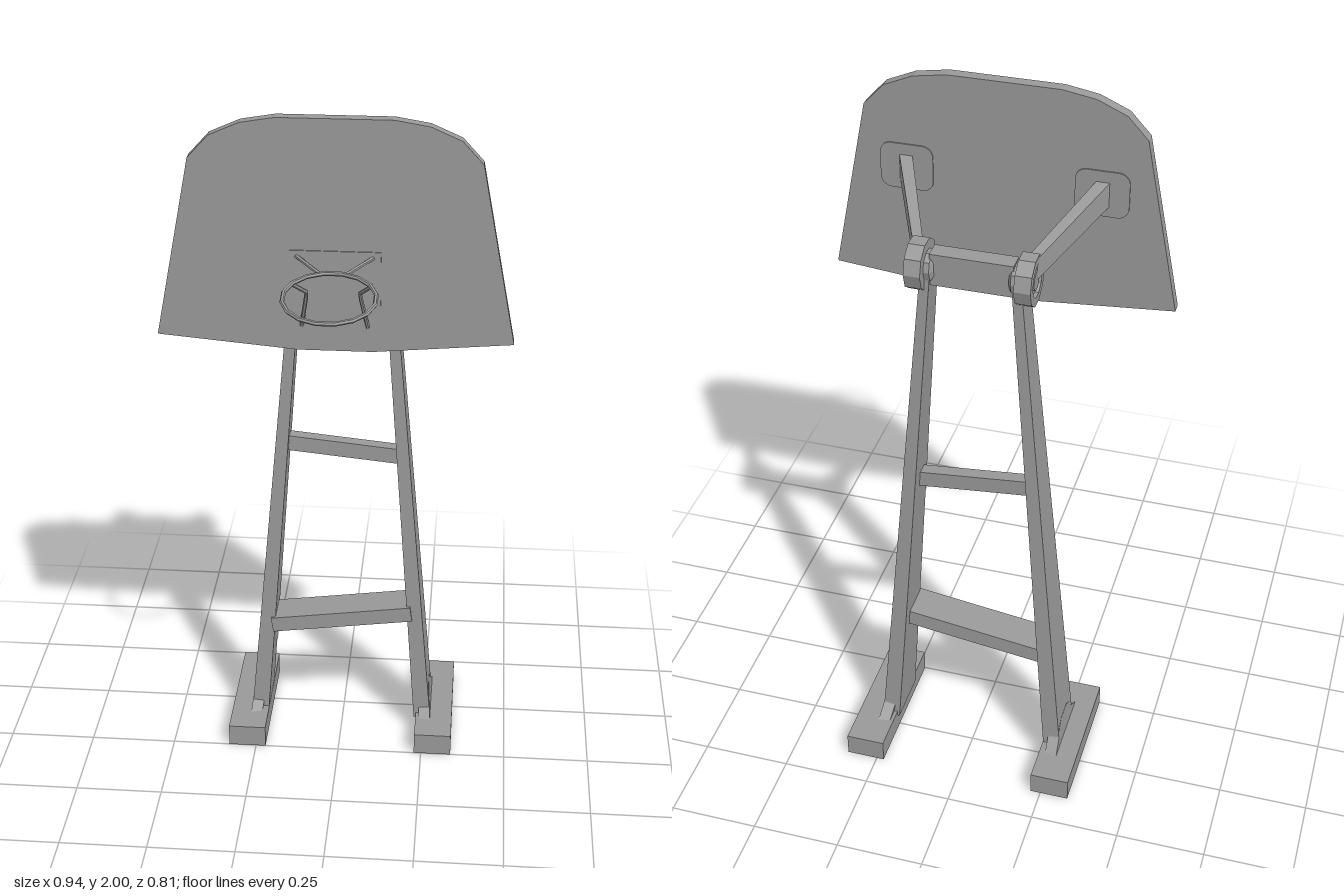
import * as THREE from 'three';

const mat = new THREE.MeshStandardMaterial({ color: 0x999999, flatShading: true });

export function createModel() {
  const root = new THREE.Group();

  const add = (name, geo, x = 0, y = 0, z = 0) => {
    const m = new THREE.Mesh(geo, mat);
    m.name = name;
    m.position.set(x, y, z);
    root.add(m);
    return m;
  };
  const box = (name, w, h, d, x, y, z) => add(name, new THREE.BoxGeometry(w, h, d), x, y, z);
  const shapeOf = pts => new THREE.Shape(pts.map(p => new THREE.Vector2(...p)));
  const extrude = (shape, depth) =>
    new THREE.ExtrudeGeometry(shape, { depth, bevelEnabled: false, curveSegments: 5 });

  // Tapered bar between two four-cornered sections, counter-clockwise seen from the far end
  const loft = (a, b) => {
    const pos = [];
    const quad = (p, q, r, s) => pos.push(...p, ...q, ...r, ...p, ...r, ...s);
    for (let i = 0; i < 4; i++) {
      const j = (i + 1) % 4;
      quad(a[i], a[j], b[j], b[i]);
    }
    quad(b[0], b[1], b[2], b[3]);
    quad(a[3], a[2], a[1], a[0]);
    const g = new THREE.BufferGeometry();
    g.setAttribute('position', new THREE.Float32BufferAttribute(pos, 3));
    g.computeVertexNormals();
    return g;
  };
  const levelRect = (cx, cz, hx, hz, y) =>
    [[cx - hx, y, cz + hz], [cx + hx, y, cz + hz], [cx + hx, y, cz - hz], [cx - hx, y, cz - hz]];
  const uprightRect = (cx, cy, hx, hy, z) =>
    [[cx - hx, cy - hy, z], [cx + hx, cy - hy, z], [cx + hx, cy + hy, z], [cx - hx, cy + hy, z]];

  // Turned part whose axis points outwards along x, with a flat on top
  const turned = (name, profile, s, sides) => {
    const g = new THREE.LatheGeometry(profile.map(p => new THREE.Vector2(...p)), sides);
    g.rotateY(Math.PI / 2 + Math.PI / sides);
    g.rotateZ(-s * Math.PI / 2);
    return add(name, g, 0, 1.61, -0.197);
  };

  // Bent rod through straight segments
  const rod = (name, pts) => {
    const path = new THREE.CurvePath();
    const v = pts.map(p => new THREE.Vector3(...p));
    for (let i = 1; i < v.length; i++) path.add(new THREE.LineCurve3(v[i - 1], v[i]));
    return add(name, new THREE.TubeGeometry(path, (v.length - 1) * 4, 0.0055, 6));
  };

  // Backboard
  const half = [[0.1, 1.37], [0.47, 1.403], [0.375, 1.89], [0.32, 1.95], [0.24, 1.985], [0.15, 2]];
  const outline = [...half, ...half.map(([x, y]) => [-x, y]).reverse()];
  add('backboard', extrude(shapeOf(outline), 0.032), 0, 0, 0.076);

  // Gusset profile along the foot
  const gusset = shapeOf([
    [-0.117, 0], [0.117, 0], [0.07, 0.03], [0.06, 0.055], [0.03, 0.073],
    [-0.03, 0.073], [-0.06, 0.055], [-0.07, 0.03],
  ]);

  // Arm plate with rounded corners
  const plate = new THREE.Shape();
  const pw = 0.072, ph = 0.065, pr = 0.03;
  plate.absarc(pw - pr, ph - pr, pr, 0, Math.PI / 2);
  plate.absarc(pr - pw, ph - pr, pr, Math.PI / 2, Math.PI);
  plate.absarc(pr - pw, pr - ph, pr, Math.PI, Math.PI * 1.5);
  plate.absarc(pw - pr, pr - ph, pr, Math.PI * 1.5, Math.PI * 2);

  for (const s of [1, -1]) {
    const side = s > 0 ? 'left' : 'right';
    // Foot, gusset and tapered leg
    box(side + 'Foot', 0.11, 0.066, 0.404, s * 0.28 + 0.004, 0.033, -0.202);
    const gg = extrude(gusset, 0.034);
    gg.translate(0, 0, -0.017);
    gg.rotateY(-Math.PI / 2);
    add(side + 'Gusset', gg, s * 0.256, 0.064, -0.197).rotation.z = s * 0.1;
    add(side + 'Leg', loft(
      levelRect(s * 0.248, -0.191, 0.025, 0.076, 0.05),
      levelRect(s * 0.119, -0.193, 0.013, 0.037, 1.61)));

    // Pivot hub with recessed outer face, bolt and inner collar
    turned(side + 'Hub', [
      [0, 0.121], [0.069, 0.121], [0.069, 0.165], [0.045, 0.165], [0.045, 0.155], [0, 0.155],
    ], s, 10);
    turned(side + 'HubBolt', [[0.027, 0.15], [0.027, 0.163], [0, 0.163]], s, 10);
    turned(side + 'HubCollar', [[0, 0.098], [0.03, 0.098], [0.042, 0.106], [0.042, 0.125]], s, 10);

    // Arm and its mounting plate
    add(side + 'Arm', loft(
      uprightRect(s * 0.148, 1.637, 0.014, 0.03, -0.19),
      uprightRect(s * 0.265, 1.725, 0.018, 0.035, 0.077)));
    add(side + 'ArmPlate', extrude(plate, 0.004), s * 0.262, 1.725, 0.0725);

    // Rim braces
    rod(side + 'UpperBrace', [[s * 0.1, 1.634, 0.108], [s * 0.035, 1.609, 0.163]]);
    rod(side + 'LowerBrace',
      [[s * 0.087, 1.44, 0.108], [s * 0.068, 1.555, 0.158], [s * 0.108, 1.601, 0.21]]);
  }

  // Beam between hubs
  box('topBeam', 0.22, 0.09, 0.05, 0, 1.61, -0.196);

  // Crooked rungs
  box('upperRung', 0.335, 0.046, 0.036, -0.003, 0.935, -0.185).rotation.z = -0.1;
  box('lowerRung', 0.42, 0.047, 0.105, 0, 0.388, -0.1695).rotation.z = 0.135;

  // Rim and its plate
  const ring = new THREE.TorusGeometry(0.119, 0.006, 6, 16);
  ring.rotateZ(Math.PI / 16);
  ring.rotateX(Math.PI / 2 + 0.17);
  add('rim', ring, 0, 1.591, 0.281);
  box('rimPlate', 0.24, 0.22, 0.004, 0, 1.54, 0.109);

  return root;
}
